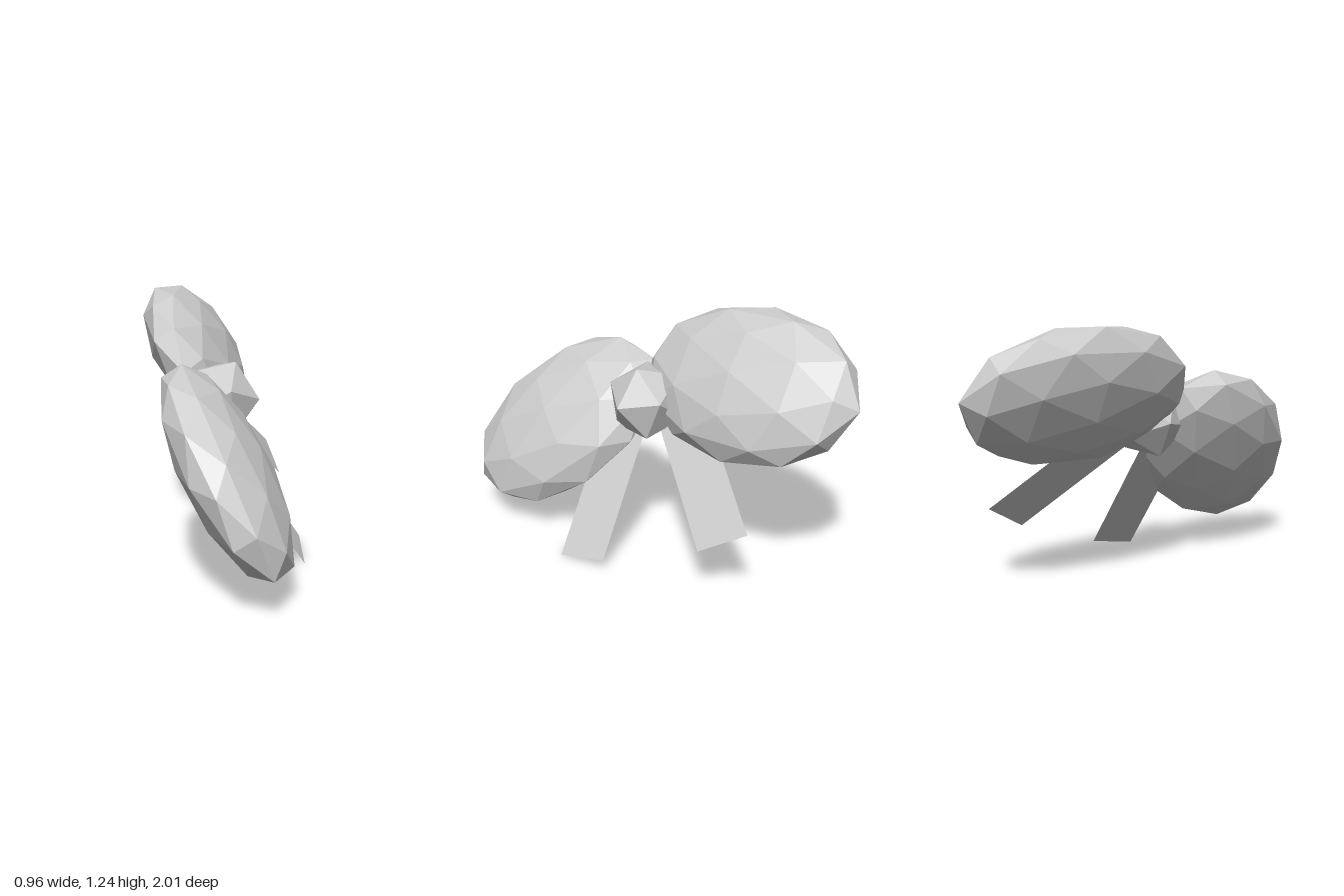
import * as THREE from 'three';

export function createModel() {
  const model = new THREE.Group();
  model.name = 'ribbonBow';

  const grey = new THREE.MeshStandardMaterial({
    color: 0xcccccc, flatShading: true, side: THREE.DoubleSide,
  });
  grey.name = 'light grey';

  // The bow lies in its own tilted plane: x across the loops, y up, z out of the knot
  const across = new THREE.Vector3(0.214, 0.341, -0.915).normalize();
  const out = across.clone().cross(new THREE.Vector3(-0.633, 0.761, 0.136)).normalize();
  const up = out.clone().cross(across);
  const bow = new THREE.Group();
  bow.name = 'bow';
  bow.quaternion.setFromRotationMatrix(new THREE.Matrix4().makeBasis(across, up, out));
  bow.position.set(-0.08, 0.737, 0.0275);
  model.add(bow);

  function add(name, geometry) {
    const mesh = new THREE.Mesh(geometry, grey);
    mesh.name = name;
    bow.add(mesh);
    return mesh;
  }

  // Faceted knot in the middle
  const knot = add('knot', new THREE.IcosahedronGeometry(0.202, 0));
  knot.position.set(0, 0, 0.047);
  knot.rotation.z = -0.53;

  for (const [label, side] of [['back', 1], ['front', -1]]) {
    // Puffy flattened loop, drooping outwards
    const loopGeometry = new THREE.IcosahedronGeometry(1, 1);
    loopGeometry.scale(0.595, 0.387, 0.185);
    loopGeometry.computeVertexNormals();
    const loop = add(label + 'Loop', loopGeometry);
    loop.position.x = side * 0.538;
    loop.rotation.z = -side * Math.PI / 8;

    // Flat hanging tail with a slanted end
    const tail = new THREE.Shape([
      [0.529, -0.718], [0.268, -0.768], [0.0, -0.01], [0.261, 0.04],
    ].map(([x, y]) => new THREE.Vector2(side * x, y)));
    add(label + 'Tail', new THREE.ShapeGeometry(tail)).position.z = -0.007;
  }

  return model;
}
